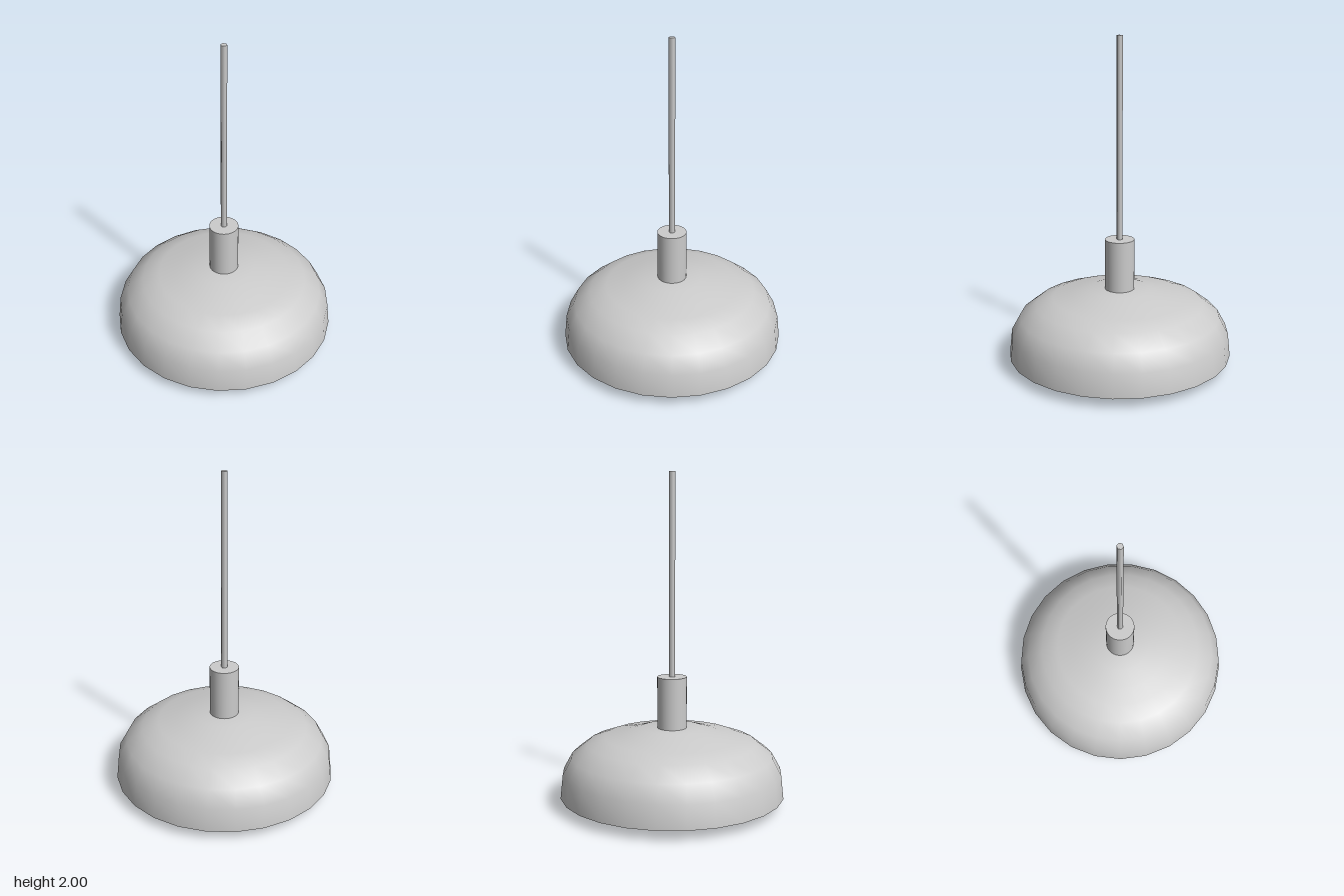
import * as THREE from 'three';
import { toCreasedNormals } from 'three/addons/utils/BufferGeometryUtils.js';

const material = new THREE.MeshStandardMaterial({ color: 0xcccccc });

// Revolves [radius, height] points, keeping sharp edges crisp
function turned(name, profile, sides) {
  const points = profile.map(([r, y]) => new THREE.Vector2(r, y));
  const geometry = new THREE.LatheGeometry(points, sides, Math.PI);
  const mesh = new THREE.Mesh(toCreasedNormals(geometry, 0.7), material);
  mesh.name = name;
  return mesh;
}

function rod(name, radius, bottom, top, sides, turn = 0) {
  const geometry = new THREE.CylinderGeometry(radius, radius, top - bottom, sides);
  geometry.rotateY(turn).translate(0, (bottom + top) / 2, 0);
  const mesh = new THREE.Mesh(geometry, material);
  mesh.name = name;
  return mesh;
}

export function createModel() {
  const lamp = new THREE.Group();
  lamp.name = 'pendantLamp';

  // Shade: recessed underside, thin rim, then the domed outside
  lamp.add(turned('shade', [
    [0, 0.183], [0.16, 0.183], [0.643, 0.12], [0.643, 0.061],
    [0.68, 0.061], [0.665, 0.205], [0.611, 0.304], [0.513, 0.38],
    [0.41, 0.418], [0.3, 0.437], [0.185, 0.471], [0, 0.471],
  ], 25));

  // Tapered bulb with a shallow domed end
  lamp.add(turned('bulb', [
    [0, 0], [0.04, 0.004], [0.08, 0.013], [0.122, 0.034], [0.163, 0.183], [0, 0.183],
  ], 32));

  // Socket sleeve and hanging cord
  lamp.add(rod('socket', 0.089, 0.44, 0.783, 32));
  lamp.add(rod('cord', 0.019, 0.76, 2, 6, Math.PI / 6));

  return lamp;
}
